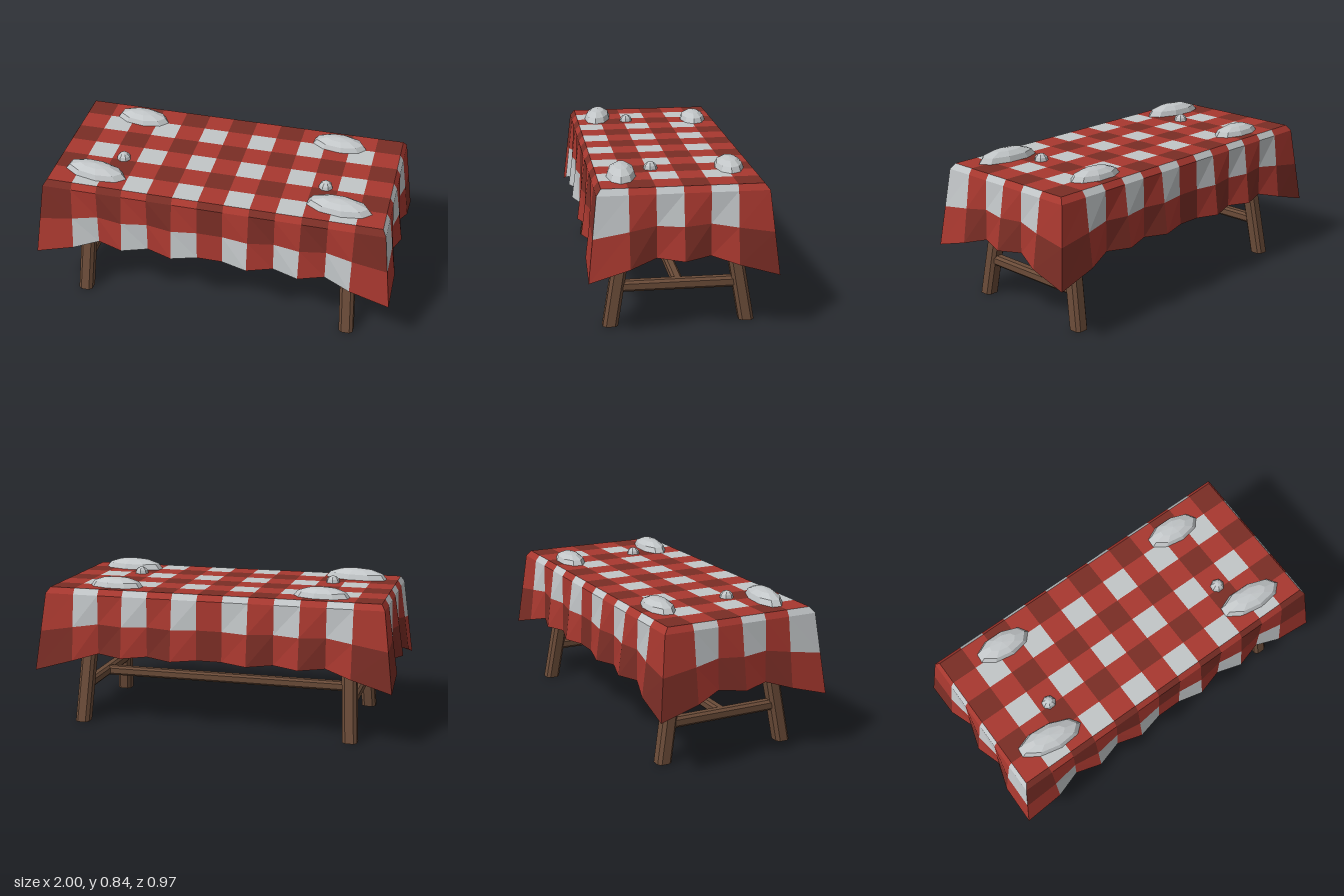
import * as THREE from 'three';

const mat = (name, color, side = THREE.FrontSide) => {
  const m = new THREE.MeshStandardMaterial({ color, side });
  m.name = name;
  return m;
};

export function createModel() {
  const model = new THREE.Group();
  model.name = 'picnicTable';
  const wood = mat('brown wood', 0x6a4b38);
  const stoneGrey = mat('stone grey', 0xc2c6c8);
  const clothMats = [
    mat('dark red cloth', 0x7a2d25, THREE.DoubleSide),
    mat('red cloth', 0xa8382f, THREE.DoubleSide),
    mat('white cloth', 0xc2c6c8, THREE.DoubleSide),
  ];

  const add = (parent, name, geo, material) => {
    const mesh = new THREE.Mesh(geo, material);
    mesh.name = name;
    parent.add(mesh);
    return mesh;
  };

  // ---- Gingham cloth: squares are sorted into one triangle list per colour ----
  const tris = [[], [], []];
  const quad = (col, row, a, b, c, d, flip) => {
    const shade = Math.abs(col % 2) + Math.abs(row % 2);
    const order = flip ? [a, c, b, a, d, c] : [a, b, c, a, c, d];
    order.forEach((p) => tris[shade].push(...p));
  };
  const TOP = 0.78, CREASE = 0.748;
  const xs = [];
  for (let i = -6; i <= 7; i++) xs.push((i - 0.5) * 0.142);
  xs[0] = -0.925;
  xs[13] = 0.925;
  const zs = [-0.412, -0.276, -0.138, 0, 0.138, 0.276, 0.412];

  // flat top
  for (let i = 0; i < 13; i++) {
    for (let j = 0; j < 6; j++) {
      quad(i - 6, j, [xs[i], TOP, zs[j]], [xs[i], TOP, zs[j + 1]],
        [xs[i + 1], TOP, zs[j + 1]], [xs[i + 1], TOP, zs[j]]);
    }
  }

  // hanging side: top edge, crease, middle and wavy hem for each fold
  const drape = (edge, end, out, hemOut, hemY, place, squareAt, flip) => {
    const last = edge.length - 1;
    const columns = edge.map((s, k) => {
      const corner = k === 0 || k === last;
      const at = (cornerS) => (corner ? Math.sign(s) * cornerS : s);
      const crease = [at(end[0]), CREASE, out[1]];
      const hem = [at(end[1]), hemY[k], hemOut[k]];
      const middle = crease.map((v, n) => v + (hem[n] - v) * 0.49);
      return [[s, TOP, out[0]], crease, middle, hem].map((p) => place(...p));
    });
    for (let k = 0; k < last; k++) {
      for (let r = 0; r < 3; r++) {
        const [col, row] = squareAt(k, r === 2 ? 1 : 0);
        quad(col, row, columns[k][r], columns[k][r + 1],
          columns[k + 1][r + 1], columns[k + 1][r], flip);
      }
    }
  };
  const mirrored = (half) => [...half, ...half.slice().reverse()];
  const longOut = mirrored([0.485, 0.482, 0.442, 0.482, 0.442, 0.482, 0.45]);
  const longY = mirrored([0.315, 0.38, 0.42, 0.41, 0.42, 0.41, 0.42]);
  const endOut = [1, 1, 0.957, 1, 0.957, 1, 1];
  const endY = [0.315, 0.378, 0.42, 0.407, 0.42, 0.378, 0.315];
  for (const side of [1, -1]) {
    drape(xs, [0.945, 1], [0.412, 0.437], longOut, longY,
      (s, y, o) => [s, y, o * side],
      (k, low) => [k - 6, side > 0 ? 6 + low : -1 - low], side < 0);
    drape(zs, [0.437, 0.485], [0.925, 0.945], endOut, endY,
      (s, y, o) => [o * side, y, s],
      (k, low) => [7 + low, k], side > 0);
  }
  const cloth = new THREE.Group();
  cloth.name = 'tablecloth';
  model.add(cloth);
  ['darkSquares', 'redSquares', 'whiteSquares'].forEach((name, n) => {
    const geo = new THREE.BufferGeometry();
    geo.setAttribute('position', new THREE.Float32BufferAttribute(tris[n], 3));
    geo.computeVertexNormals();
    add(cloth, name, geo, clothMats[n]);
  });

  // ---- Wooden frame ----
  const board = add(model, 'tableBoard', new THREE.BoxGeometry(1.83, 0.04, 0.81), wood);
  board.position.y = 0.752;

  // square beam with chamfered edges, running along z from 0
  const beam = (size, length, chamfer) => {
    const h = size / 2, c = h - chamfer;
    const shape = new THREE.Shape([[h, -c], [h, c], [c, h], [-c, h], [-h, c], [-h, -c], [-c, -h], [c, -h]]
      .map(([x, y]) => new THREE.Vector2(x, y)));
    return new THREE.ExtrudeGeometry(shape, { depth: length, bevelEnabled: false });
  };

  // legs lean inwards towards the top
  for (const sx of [1, -1]) {
    for (const sz of [1, -1]) {
      const geo = beam(0.08, 0.74, 0.017).rotateX(-Math.PI / 2);
      const p = geo.attributes.position;
      for (let i = 0; i < p.count; i++) {
        const y = p.getY(i);
        p.setX(i, p.getX(i) + sx * (0.77 - 0.06 * y));
        p.setZ(i, p.getZ(i) + sz * (0.36 - 0.168 * y));
      }
      geo.computeVertexNormals();
      add(model, 'leg', geo, wood);
    }
    const rail = add(model, 'endRail', beam(0.058, 0.62, 0.013), wood);
    rail.position.set(sx * 0.757, 0.208, -0.31);
  }
  const longRail = add(model, 'longRail', beam(0.054, 1.5, 0.012).rotateY(Math.PI / 2), wood);
  longRail.position.set(-0.75, 0.208, 0);

  // ---- Faceted stones holding the cloth down ----
  const stone = (name, x, z, rx, rz, h, skew, sides) => {
    let geo = new THREE.SphereGeometry(1, sides, 3, 0.3, Math.PI * 2, 0, Math.PI / 2);
    const p = geo.attributes.position;
    for (let i = 0; i < p.count; i++) {
      const px = p.getX(i) * rx;
      p.setXYZ(i, px, p.getY(i) * h, p.getZ(i) * rz + px * skew);
    }
    geo = geo.toNonIndexed();
    geo.computeVertexNormals();
    add(model, name, geo, stoneGrey).position.set(x, TOP, z);
  };
  stone('frontStone', -0.685, 0.285, 0.182, 0.078, 0.06, 0.13, 9);
  stone('frontStone', 0.67, 0.285, 0.182, 0.078, 0.06, 0.08, 9);
  stone('backStone', -0.588, -0.295, 0.156, 0.077, 0.054, 0.06, 9);
  stone('backStone', 0.575, -0.295, 0.156, 0.077, 0.054, 0.06, 9);
  stone('pebble', -0.575, 0.12, 0.04, 0.038, 0.039, 0, 7);
  stone('pebble', 0.57, 0.12, 0.04, 0.038, 0.039, 0, 7);

  return model;
}
